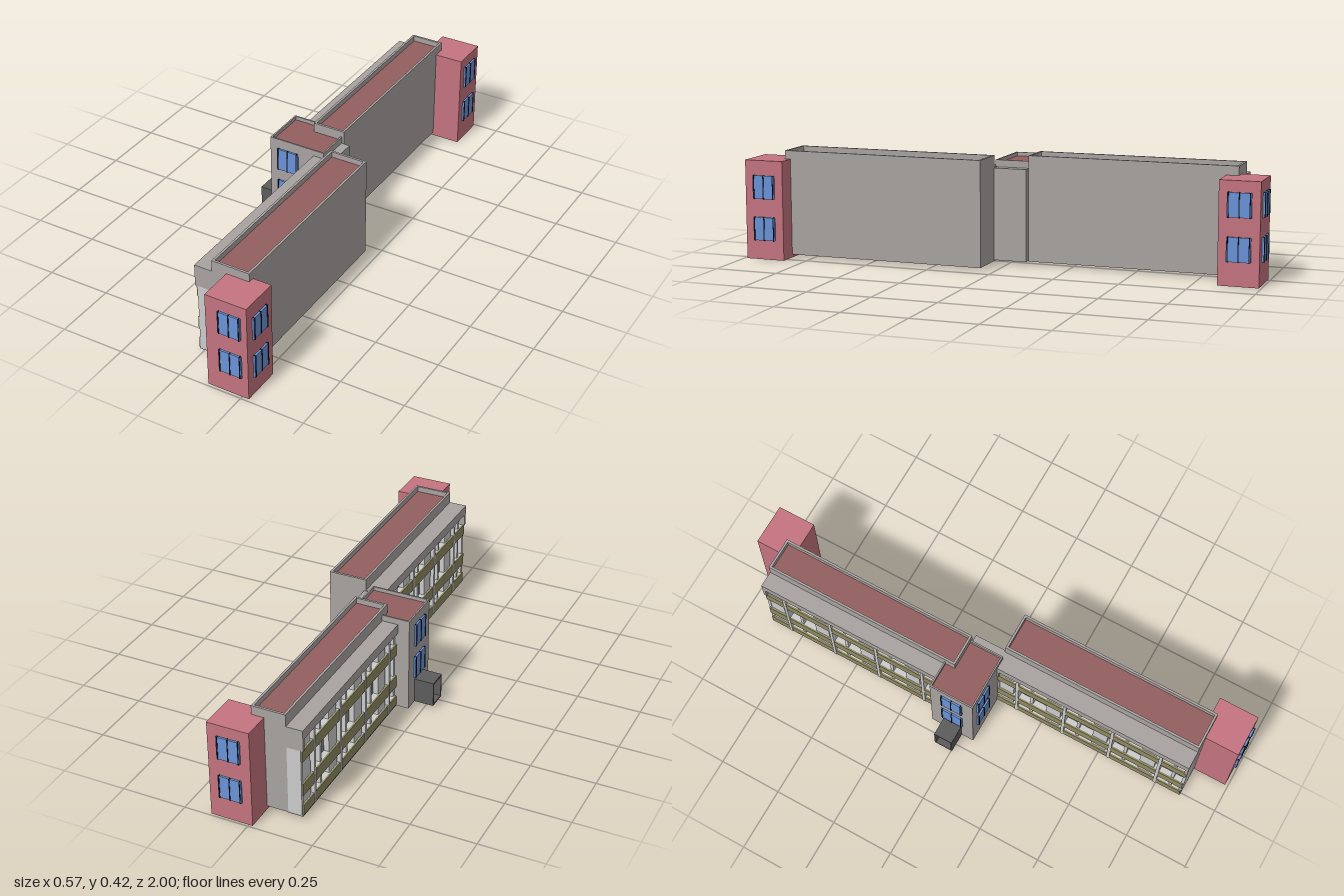
import * as THREE from 'three';

const mat = (color) => new THREE.MeshStandardMaterial({ color, flatShading: true });
const WALL = mat(0xa8a3a1), LIGHT = mat(0xcccccc), RED = mat(0xc4747f), DECK = mat(0x925f5e);
const BLUE = mat(0x6a93d8), BLACK = mat(0x111111), DARK = mat(0x5c5c5c);
const OLIVE = mat(0x8f8a62), SHADE = mat(0x858585);

// Axis-aligned block given by its limits
function block(parent, name, material, x0, x1, y0, y1, z0, z1) {
  const mesh = new THREE.Mesh(new THREE.BoxGeometry(x1 - x0, y1 - y0, z1 - z0), material);
  mesh.position.set((x0 + x1) / 2, (y0 + y1) / 2, (z0 + z1) / 2);
  mesh.name = name;
  parent.add(mesh);
}

// Block with a sunken roof deck inside a parapet
function parapetBlock(parent, name, x0, x1, y0, y1, z0, z1, rim, sink) {
  const g = new THREE.Group();
  g.name = name;
  const yr = y1 - sink;
  block(g, 'body', WALL, x0, x1, y0, yr - 0.002, z0, z1);
  block(g, 'roofDeck', DECK, x0 + rim, x1 - rim, yr - 0.004, yr, z0 + rim, z1 - rim);
  block(g, 'parapet', WALL, x0, x0 + rim, yr - 0.002, y1, z0, z1);
  block(g, 'parapet', WALL, x1 - rim, x1, yr - 0.002, y1, z0, z1);
  block(g, 'parapet', WALL, x0 + rim, x1 - rim, yr - 0.002, y1, z0, z0 + rim);
  block(g, 'parapet', WALL, x0 + rim, x1 - rim, yr - 0.002, y1, z1 - rim, z1);
  parent.add(g);
}

// Projecting two-pane window with dark upright bars, turned about y
function bayWindow(parent, x, y, z, turn) {
  const g = new THREE.Group();
  g.name = 'window';
  block(g, 'glass', BLUE, -0.045, 0.045, -0.045, 0.045, -0.002, 0.007);
  for (const bx of [-0.04, 0, 0.04]) {
    block(g, 'windowBar', BLACK, bx - 0.0017, bx + 0.0017, -0.0465, 0.0465, -0.002, 0.009);
  }
  g.position.set(x, y, z);
  g.rotation.y = turn;
  parent.add(g);
}

// Long wing: main slab plus a window gallery along its -x side
function wing(name, galleryX, x0, x1, yBase, yTop, z0, z1) {
  const g = new THREE.Group();
  g.name = name;
  parapetBlock(g, 'mainSlab', x0, x1, yBase, yTop, z0, z1, 0.009, 0.022);
  const a = galleryX, inner = x0 + 0.002;
  block(g, 'galleryCore', SHADE, a + 0.028, inner, 0.016, 0.36, z0 + 0.01, z1 - 0.01);
  block(g, 'galleryRoof', WALL, a - 0.004, inner, 0.335, 0.373, z0, z1);
  block(g, 'galleryFloor', WALL, a + 0.002, inner, 0.012, 0.018, z0, z1);
  // end walls
  for (const [e0, e1] of [[z0, z0 + 0.012], [z1 - 0.012, z1]]) {
    block(g, 'galleryEndWall', LIGHT, a + 0.006, inner, 0.016, 0.288, e0, e1);
    block(g, 'galleryTopEnd', WALL, a - 0.004, inner, 0.287, 0.336, e0, e1);
  }
  // railing bands, one per floor, with slabs behind them
  for (const [b0, b1] of [[0.018, 0.058], [0.1, 0.149], [0.241, 0.287]]) {
    block(g, 'floorSlab', LIGHT, a + 0.006, inner, b0, b1, z0 + 0.001, z1 - 0.001);
    block(g, 'railingBand', OLIVE, a, a + 0.007, b0, b1, z0 + 0.003, z1 - 0.003);
  }
  // piers and light wall panels between the openings
  const bays = 4, pitch = (z1 - z0) / bays;
  for (let i = 0; i < bays; i++) {
    const z = z0 + i * pitch;
    block(g, 'pier', LIGHT, a - 0.002, a + 0.03, 0.017, 0.34, z + pitch * 0.42, z + pitch * 0.48);
    for (const [p0, p1] of [[0.057, 0.101], [0.148, 0.242], [0.286, 0.336]]) {
      block(g, 'wallPanel', LIGHT, a + 0.008, a + 0.03, p0, p1, z + pitch * 0.06, z + pitch * 0.36);
      block(g, 'mullion', LIGHT, a + 0.008, a + 0.03, p0, p1, z + pitch * 0.72, z + pitch * 0.78);
    }
  }
  return g;
}

export function createModel() {
  const model = new THREE.Group();
  model.name = 'building';

  model.add(wing('frontWing', -0.015, 0.053, 0.205, 0.012, 0.418, 0.05, 0.855));
  model.add(wing('rearWing', -0.158, -0.098, 0.034, 0.014, 0.42, -0.885, -0.08));

  // central stair tower with windows
  const stair = new THREE.Group();
  stair.name = 'stairTower';
  parapetBlock(stair, 'stairBlock', -0.208, 0.025, 0.015, 0.397, -0.125, 0.056, 0.006, 0.015);
  for (const y of [0.172, 0.312]) {
    bayWindow(stair, -0.131, y, 0.056, 0);
    bayWindow(stair, -0.208, y, -0.033, -Math.PI / 2);
  }
  // link to the front wing
  block(stair, 'link', WALL, 0.0, 0.06, 0.016, 0.37, -0.078, 0.052);
  model.add(stair);

  // open-ended entrance porch
  const porch = new THREE.Group();
  porch.name = 'porch';
  const px0 = -0.286, px1 = -0.206;
  block(porch, 'porchRoof', DARK, px0, px1, 0.109, 0.115, -0.07, 0.006);
  block(porch, 'porchFloor', DARK, px0, px1, 0.016, 0.021, -0.07, 0.006);
  block(porch, 'porchSide', DARK, px0, px1, 0.021, 0.109, -0.07, -0.064);
  block(porch, 'porchSide', DARK, px0, px1, 0.021, 0.109, 0.0, 0.006);
  model.add(porch);

  // red end towers: windows on the outer end and the +x side
  for (const [name, x0, x1, z0, z1, end, endY, sideY] of [
    ['frontTower', 0.112, 0.277, 0.832, 0.989, 1, 0.13, 0.12],
    ['rearTower', -0.015, 0.148, -0.991, -0.838, -1, 0.133, 0.135],
  ]) {
    const tower = new THREE.Group();
    tower.name = name;
    block(tower, 'towerBody', RED, x0, x1, 0, 0.385, z0, z1);
    for (const dy of [0, 0.162]) {
      bayWindow(tower, end > 0 ? 0.208 : 0.066, endY + dy, end > 0 ? z1 : z0, end > 0 ? 0 : Math.PI);
      bayWindow(tower, x1, sideY + dy, (z0 + z1) / 2, Math.PI / 2);
    }
    model.add(tower);
  }
  return model;
}
